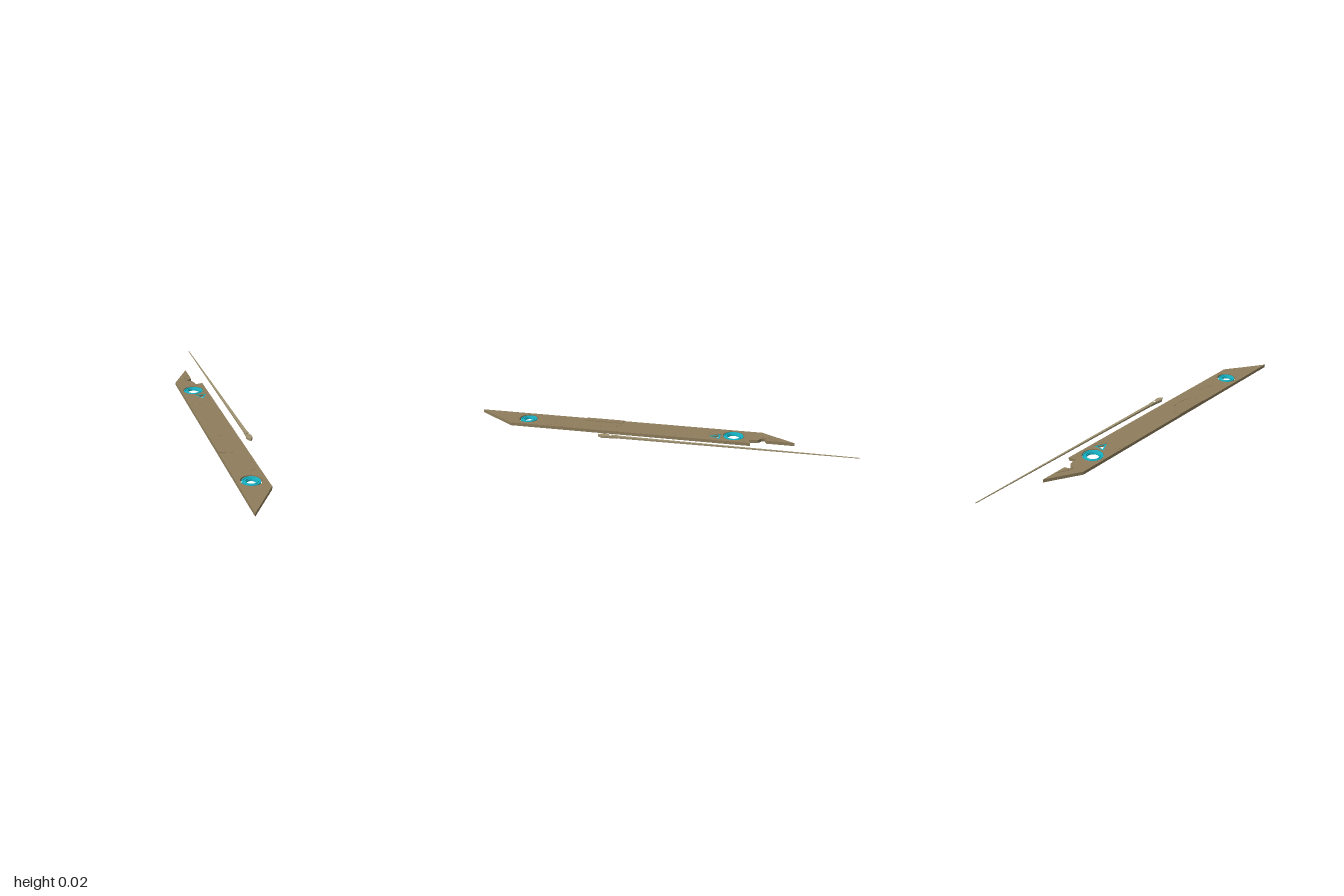
import * as THREE from 'three';

const TAN = new THREE.MeshStandardMaterial({ color: 0x8f7e5c });
const PALE = new THREE.MeshStandardMaterial({ color: 0xa09372 });
const CYAN = new THREE.MeshStandardMaterial({ color: 0x14b4c6 });
const TOP = 0.016;

// Points are [x, z] in plan; the slab rises from y0 by the given height
const plan = (pts) => pts.map(([x, z]) => new THREE.Vector2(x, -z));
const circle = (x, z, r, n = 40) => Array.from({ length: n }, (_, i) => {
  const a = (i / n) * Math.PI * 2;
  return [x + r * Math.cos(a), z + r * Math.sin(a)];
});

function slab(name, pts, holes, y0, height, material) {
  const shape = new THREE.Shape(plan(pts));
  holes.forEach((h) => shape.holes.push(new THREE.Path(plan(h))));
  const geo = new THREE.ExtrudeGeometry(shape, { depth: height, bevelEnabled: false });
  geo.rotateX(-Math.PI / 2).translate(0, y0, 0);
  const mesh = new THREE.Mesh(geo, material);
  mesh.name = name;
  return mesh;
}

// Stepped ring insert: a low collar, a groove and a raised inner lip
function ringInsert(name, x, z, inner, outer) {
  const w = outer - inner;
  const profile = [
    [0, 0.002], [1, 0.002], [1, 0.015], [0.75, 0.015], [0.7, 0.011],
    [0.45, 0.011], [0.4, 0.014], [0.2, 0.014], [0.15, 0.009], [0, 0.009], [0, 0.002],
  ].map(([t, y]) => new THREE.Vector2(inner + t * w, y));
  const geo = new THREE.LatheGeometry(profile, 40).toNonIndexed();
  geo.computeVertexNormals();
  const mesh = new THREE.Mesh(geo, CYAN);
  mesh.name = name;
  mesh.position.set(x, 0, z);
  return mesh;
}

const triangle = (s) => [[-0.012 - 0.032 * s, -0.288 - 0.02 * s],
  [-0.012 + 0.032 * s, -0.288 - 0.02 * s], [-0.012, -0.288 + 0.04 * s]];

export function createModel() {
  const model = new THREE.Group();

  // Flat slanted blade with a jagged notch at the back
  const outline = [
    [-0.103, 0.99], [0.037, 0.785], [0.037, -0.465], [0.0, -0.455], [-0.008, -0.5],
    [-0.03, -0.515], [-0.035, -0.53], [-0.008, -0.54], [-0.008, -0.68], [-0.103, -0.51],
  ];
  model.add(slab('blade', outline,
    [circle(-0.035, -0.373, 0.054), circle(-0.035, 0.71, 0.05), triangle(1)], 0, TOP, TAN));

  // Cyan inserts sitting in the blade openings
  model.add(ringInsert('backRing', -0.035, -0.373, 0.029, 0.05));
  model.add(ringInsert('frontRing', -0.035, 0.71, 0.021, 0.043));
  model.add(slab('triangleInsert', triangle(0.95), [triangle(0.6)], 0.002, 0.012, CYAN));

  // Faint round outlines on the top face
  [[-0.058, -0.22, 0.04], [0.01, 0.515, 0.022], [-0.01, 0.585, 0.032]].forEach(([x, z, r], i) => {
    model.add(slab(`roundMark${i + 1}`, circle(x, z, r), [circle(x, z, r - 0.003)], TOP, 0.0007, TAN));
  });

  // Raised bar on the left-hand edge of the plan, with a bowed grip beside it
  model.add(slab('edgeBar', [[-0.103, 0.41], [-0.068, 0.41], [-0.068, 0.21], [-0.103, 0.21]],
    [], TOP, 0.003, TAN));
  const bow = (s) => Array.from({ length: 21 }, (_, i) => {
    const a = Math.PI * (i / 20);
    return [-0.055 + 0.045 * s * Math.sin(a), 0.315 + 0.105 * s * Math.cos(a)];
  });
  model.add(slab('bowedGrip', [...bow(1), ...bow(0.85).reverse()], [], TOP, 0.001, TAN));

  // Bevel strip at the front corner
  model.add(slab('cornerStrip', [[0.037, 0.765], [0.037, 0.785], [-0.005, 0.846], [-0.005, 0.826]],
    [], TOP, 0.0006, TAN));

  // Curved ridge and small spur on the back point
  const hook = Array.from({ length: 9 }, (_, i) => {
    const t = i / 8;
    return [-0.015 - 0.03 * Math.sin(t * Math.PI / 2), -0.6 + 0.085 * t];
  });
  model.add(slab('hookRidge', [...hook, ...hook.map(([x, z]) => [x + 0.006, z]).reverse()],
    [], TOP, 0.002, TAN));
  const spur = new THREE.Mesh(new THREE.ConeGeometry(0.006, 0.008, 4), TAN);
  spur.name = 'spur';
  spur.position.set(-0.043, TOP + 0.004, -0.55);
  model.add(spur);

  // Long needle, thinning towards the back
  const cx = 0.088, midY = 0.0095;
  const needle = new THREE.Group();
  needle.name = 'needle';
  const shaft = slab('needleShaft', [[cx - 0.008, 0.22], [cx + 0.008, 0.22],
    [cx + 0.002, -1], [cx - 0.002, -1]], [], midY - 0.005, 0.01, PALE);
  const pos = shaft.geometry.attributes.position;
  for (let i = 0; i < pos.count; i++) {
    const t = (pos.getZ(i) + 1) / 1.22;
    pos.setY(i, midY + (pos.getY(i) - midY) * (0.25 + 0.75 * t));
  }
  shaft.geometry.computeVertexNormals();
  needle.add(shaft);

  // Arrow-shaped head with a small slot
  const half = [[0.008, 0.2], [0.01, 0.245], [0.0145, 0.265], [0.0125, 0.28], [0, 0.3]];
  const head = [...half.map(([x, z]) => [cx + x, z]),
    ...half.slice(0, -1).reverse().map(([x, z]) => [cx - x, z])];
  needle.add(slab('needleHead', head,
    [[[cx - 0.006, 0.23], [cx + 0.006, 0.23], [cx + 0.006, 0.24], [cx - 0.006, 0.24]]],
    0.003, 0.013, PALE));
  model.add(needle);

  return model;
}
